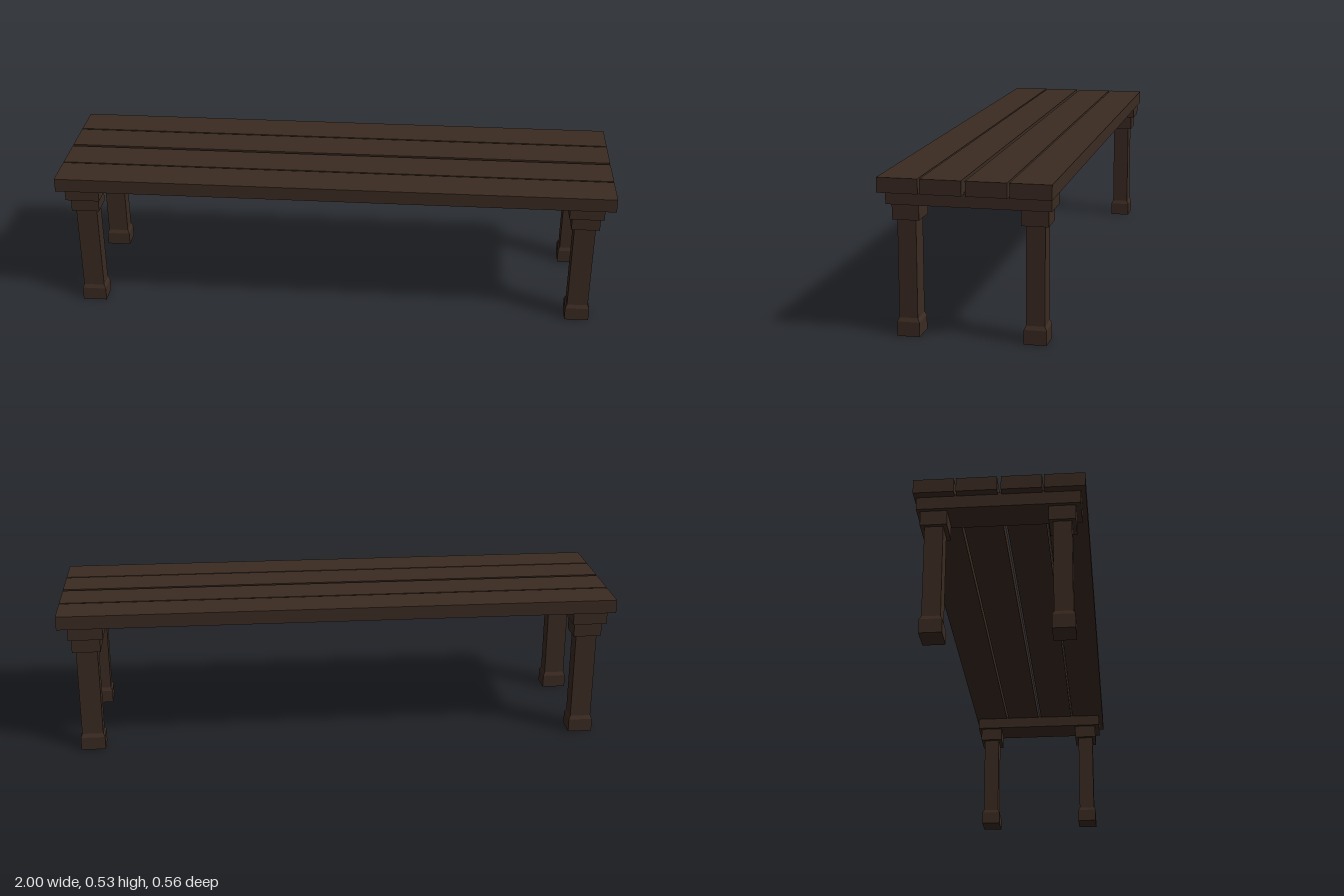
import * as THREE from 'three';

export function createModel() {
  const bench = new THREE.Group();
  bench.name = 'bench';
  const wood = new THREE.MeshStandardMaterial({ color: 0x3b2b22 });
  wood.name = 'dark wood';

  // Box standing on y0; the top face may shrink to topW x topD
  function block(name, parent, [w, y0, y1, d], [x, z], topW = w, topD = d) {
    const geo = new THREE.BoxGeometry(w, y1 - y0, d);
    const p = geo.attributes.position;
    for (let i = 0; i < p.count; i++) {
      if (p.getY(i) > 0) {
        p.setX(i, Math.sign(p.getX(i)) * topW / 2);
        p.setZ(i, Math.sign(p.getZ(i)) * topD / 2);
      }
    }
    geo.computeVertexNormals();
    const mesh = new THREE.Mesh(geo, wood);
    mesh.name = name;
    mesh.position.set(x, (y0 + y1) / 2, z);
    parent.add(mesh);
  }

  // Four seat planks with narrow gaps
  for (const z of [0.2125, 0.0735, -0.072, -0.2115]) {
    block('seatPlank', bench, [2, 0.481, 0.53, 0.133], [0, z]);
  }

  // Cross beam and two legs at each end
  for (const x of [-0.909, 0.902]) {
    block('crossBeam', bench, [0.123, 0.437, 0.487, 0.533], [x, -0.004]);
    for (const z of [0.201, -0.2145]) {
      const leg = new THREE.Group();
      leg.name = 'leg';
      leg.position.set(x + (x < 0 ? 0.003 : 0.001), 0, z);
      block('legCapital', leg, [0.101, 0.386, 0.437, 0.088], [0, 0]);
      block('legPost', leg, [0.076, 0.06, 0.386, 0.061], [0, 0]);
      block('legFoot', leg, [0.088, 0, 0.048, 0.074], [0, 0]);
      block('legFootBevel', leg, [0.088, 0.048, 0.061, 0.074], [0, 0], 0.076, 0.061);
      bench.add(leg);
    }
  }
  return bench;
}
